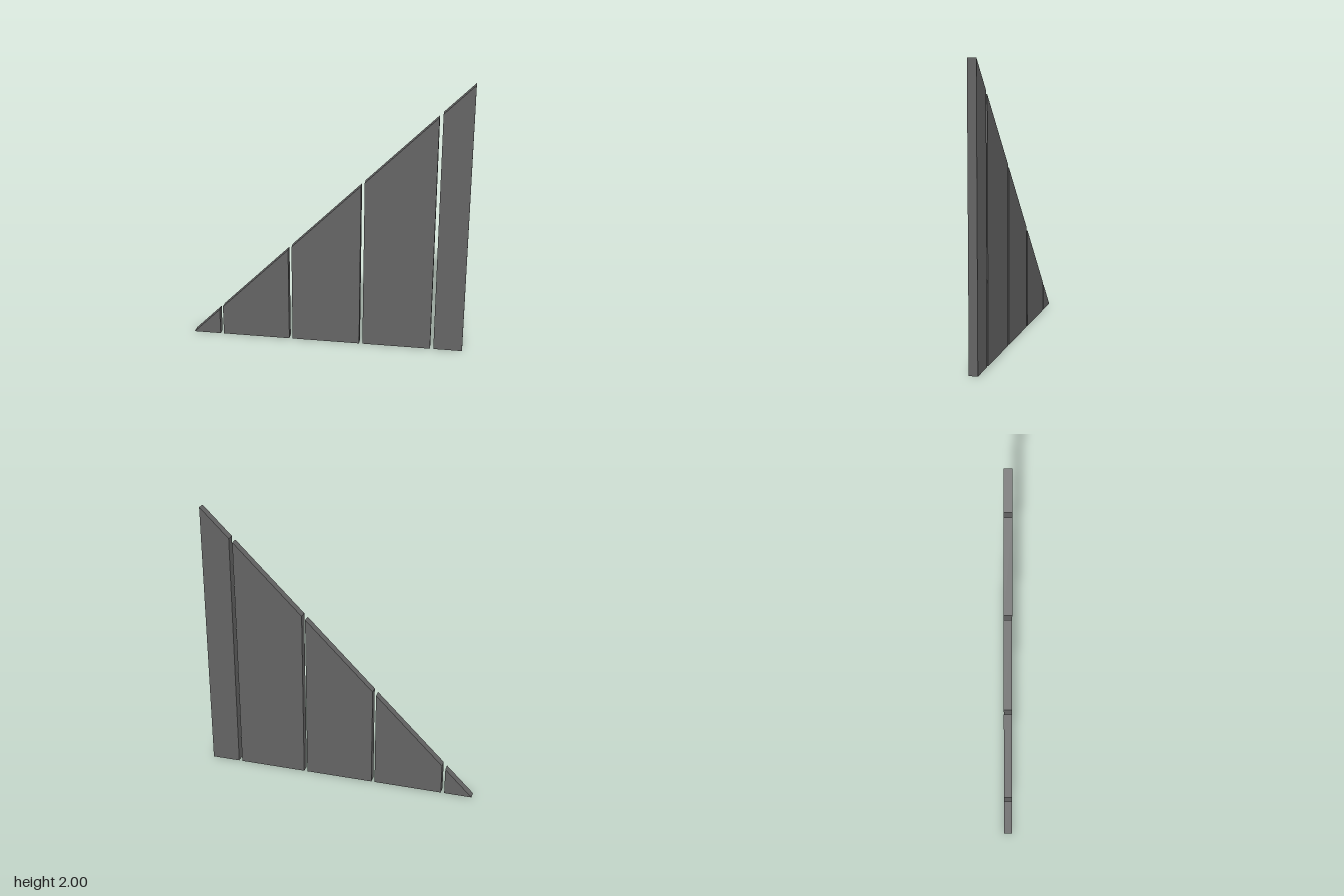
import * as THREE from 'three';

const THICKNESS = 0.06;

// Left and right edge of each plank along x
const PLANKS = [
  [-1, -0.8],
  [-0.775, -0.277],
  [-0.252, 0.245],
  [0.27, 0.767],
  [0.792, 1],
];

// Upright plank whose top is cut along the 45 degree slope y = x + 1
function plankGeometry(x0, x1) {
  const shape = new THREE.Shape();
  shape.moveTo(x0, 0);
  shape.lineTo(x1, 0);
  shape.lineTo(x1, x1 + 1);
  if (x0 > -1) shape.lineTo(x0, x0 + 1);
  shape.closePath();
  const geometry = new THREE.ExtrudeGeometry(shape, { depth: THICKNESS, bevelEnabled: false });
  geometry.translate(0, 0, -THICKNESS / 2);
  return geometry;
}

export function createModel() {
  const group = new THREE.Group();
  group.name = 'triangularPlankPanel';

  const darkGrey = new THREE.MeshStandardMaterial({ color: 0x646464 });
  darkGrey.name = 'dark grey';

  PLANKS.forEach(([x0, x1], i) => {
    const plank = new THREE.Mesh(plankGeometry(x0, x1), darkGrey);
    plank.name = `plank${i + 1}`;
    group.add(plank);
  });

  return group;
}
